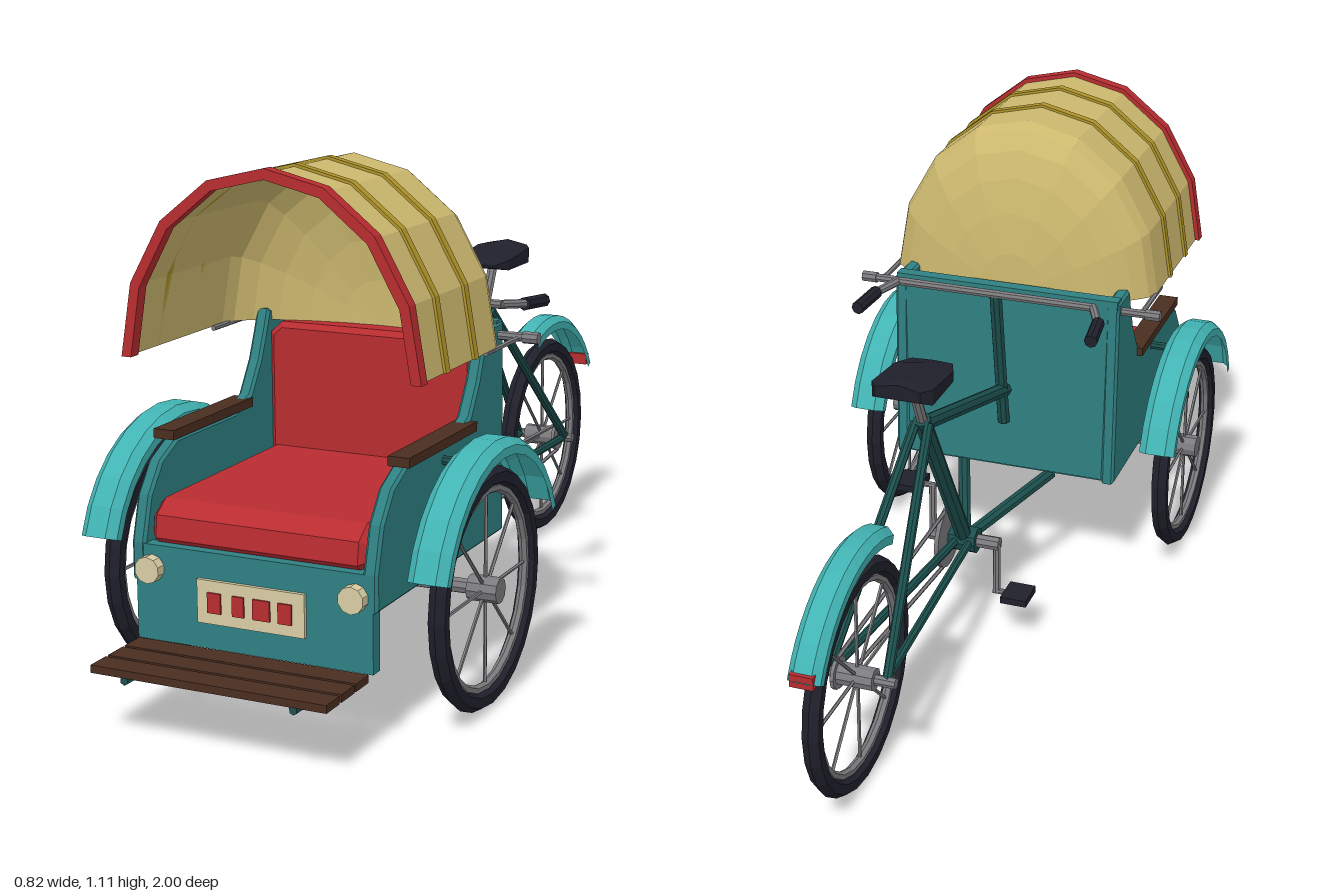
import * as THREE from 'three';

const mat = (name, color, side = THREE.FrontSide) => {
  const m = new THREE.MeshStandardMaterial({ color, side, flatShading: true });
  m.name = name;
  return m;
};

export function createModel() {
  const M = {
    teal: mat('body teal', 0x2f8082),
    light: mat('fender turquoise', 0x42b3b3, THREE.DoubleSide),
    frame: mat('frame dark green', 0x1c4f4d),
    red: mat('red', 0xb82c30),
    tan: mat('canopy tan', 0xcdb96f, THREE.DoubleSide),
    gold: mat('rib gold', 0xb0952a),
    black: mat('rubber black', 0x20202c),
    steel: mat('steel grey', 0x7c7c80),
    wood: mat('wood brown', 0x4a2d20),
    cream: mat('cream', 0xd8cda4),
  };
  const root = new THREE.Group();
  root.name = 'cycleRickshaw';
  const V = (x, y, z) => new THREE.Vector3(x, y, z);

  const add = (name, geo, m, x = 0, y = 0, z = 0, parent = root) => {
    const mesh = new THREE.Mesh(geo, m);
    mesh.name = name;
    mesh.position.set(x, y, z);
    parent.add(mesh);
    return mesh;
  };
  const box = (name, w, h, d, m, x, y, z) => add(name, new THREE.BoxGeometry(w, h, d), m, x, y, z);
  // round bar between two points
  const bar = (name, a, b, r, m, sides = 8, parent = root) => {
    const d = b.clone().sub(a);
    const mesh = add(name, new THREE.CylinderGeometry(r, r, d.length(), sides), m, 0, 0, 0, parent);
    mesh.position.copy(a).addScaledVector(d, 0.5);
    mesh.quaternion.setFromUnitVectors(V(0, 1, 0), d.normalize());
    return mesh;
  };
  // open sheet through a list of cross-sections
  const loft = (rings) => {
    const n = rings[0].length, pos = rings.flat(2), idx = [];
    for (let i = 0; i < rings.length - 1; i++)
      for (let j = 0; j < n - 1; j++) {
        const a = i * n + j, b = a + n;
        idx.push(a, b, a + 1, b, b + 1, a + 1);
      }
    const g = new THREE.BufferGeometry();
    g.setAttribute('position', new THREE.Float32BufferAttribute(pos, 3));
    g.setIndex(idx);
    g.computeVertexNormals();
    return g;
  };
  const extrude = (pts, depth, bevel = 0) => new THREE.ExtrudeGeometry(
    new THREE.Shape(pts.map(([x, y]) => new THREE.Vector2(x, y))),
    { depth, bevelEnabled: bevel > 0, bevelSize: bevel, bevelThickness: bevel, bevelSegments: 1 });

  // ---- wheels and fenders
  const WY = 0.257, FZ = 0.508, RZ = -0.727;
  const wheel = (name, x, z, hubR, hubL) => {
    const g = new THREE.Group();
    g.name = name;
    g.position.set(x, WY, z);
    root.add(g);
    add('tyre', new THREE.TorusGeometry(0.231, 0.021, 6, 24), M.black, 0, 0, 0, g).rotation.y = Math.PI / 2;
    add('rim', new THREE.TorusGeometry(0.207, 0.01, 6, 24), M.steel, 0, 0, 0, g).rotation.y = Math.PI / 2;
    bar('hub', V(-hubL, 0, 0), V(hubL, 0, 0), hubR, M.steel, 10, g);
    for (let i = 0; i < 8; i++) {
      const a = (i * Math.PI) / 4;
      bar('spoke', V(0, 0, 0), V(0, 0.205 * Math.cos(a), 0.205 * Math.sin(a)), 0.004, M.steel, 5, g);
    }
  };
  const fender = (name, x, z, w, from, to) => {
    const profile = [[-w, 0.279], [-w, 0.298], [-w * 0.55, 0.313], [w * 0.55, 0.313], [w, 0.298], [w, 0.279]];
    const rings = [];
    for (let i = 0; i <= 12; i++) {
      const a = THREE.MathUtils.degToRad(from + ((to - from) * i) / 12);
      rings.push(profile.map(([px, r]) => [x + px, WY + r * Math.cos(a), z + r * Math.sin(a)]));
    }
    add(name, loft(rings), M.light);
  };
  wheel('rearWheel', 0, RZ, 0.025, 0.04);
  fender('rearFender', 0, RZ, 0.035, -61, 25);
  box('tailLight', 0.05, 0.028, 0.02, M.red, 0, 0.41, -0.99);
  bar('rearAxle', V(-0.085, WY, RZ), V(0.085, WY, RZ), 0.012, M.steel);
  bar('frontAxle', V(-0.4, WY, FZ), V(0.4, WY, FZ), 0.016, M.steel);

  // ---- passenger body
  const sideOutline = [[0.2, 0.29], [0.81, 0.29], [0.81, 0.36], [0.785, 0.45], [0.74, 0.51], [0.68, 0.54],
    [0.44, 0.54], [0.37, 0.57], [0.325, 0.64], [0.3, 0.7], [0.285, 0.74], [0.206, 0.74]];
  for (const s of [1, -1]) {
    wheel('frontWheel', s * 0.367, FZ, 0.027, 0.033);
    fender('frontFender', s * 0.367, FZ, 0.042, -69, 72);
    bar('fenderStrut', V(s * 0.26, 0.515, FZ), V(s * 0.335, 0.515, FZ), 0.01, M.frame);
    // shape x runs along z, so the panel is turned and mirrored by position
    const panel = add('sidePanel', extrude(sideOutline, 0.02, 0.006), M.teal, s * 0.258 + 0.01);
    panel.rotation.y = -Math.PI / 2;
    box('armrest', 0.047, 0.02, 0.33, M.wood, s * 0.264, 0.556, 0.535);
    const lamp = bar('headLamp', V(s * 0.227, 0.312, 0.81), V(s * 0.227, 0.312, 0.838), 0.028, M.cream, 10);
    lamp.name = 'headLamp';
    // canopy pivots and arms
    bar('canopyPivot', V(s * 0.26, 0.72, 0.225), V(s * 0.345, 0.72, 0.225), 0.01, M.steel);
    bar('pivotKnob', V(s * 0.33, 0.72, 0.225), V(s * 0.365, 0.72, 0.225), 0.013, M.steel);
    bar('canopyArm', V(s * 0.318, 0.717, 0.225), V(s * 0.318, 0.717, 0.4), 0.006, M.steel, 6);
    bar('footboardRail', V(s * 0.185, 0.139, 0.79), V(s * 0.185, 0.139, 0.995), 0.009, M.frame, 6);
  }
  box('backPanel', 0.53, 0.46, 0.025, M.teal, 0, 0.52, 0.2125);
  box('backTopRail', 0.54, 0.025, 0.03, M.teal, 0, 0.738, 0.215);
  box('floor', 0.51, 0.02, 0.6, M.teal, 0, 0.295, 0.505);
  box('frontPanel', 0.528, 0.2, 0.03, M.teal, 0, 0.26, 0.8);
  box('seatBase', 0.47, 0.065, 0.55, M.teal, 0, 0.33, 0.51);

  // cushions, bevelled toward the sitter
  const cushion = add('seatCushion', extrude([[0.245, 0.36], [0.775, 0.36], [0.79, 0.375], [0.785, 0.41],
    [0.755, 0.432], [0.245, 0.432]], 0.45, 0.012), M.red, 0.225);
  cushion.rotation.y = -Math.PI / 2;
  add('backrest', extrude([[-0.23, 0.42], [0.23, 0.42], [0.23, 0.69], [0.21, 0.708], [-0.21, 0.708],
    [-0.23, 0.69]], 0.045, 0.012), M.red, 0, 0, 0.235);

  // front plate with four plain red tiles
  box('frontPlate', 0.24, 0.09, 0.009, M.cream, 0, 0.26, 0.819);
  [[-0.08, 0.03], [-0.026, 0.026], [0.026, 0.038], [0.078, 0.03]].forEach(([x, w]) =>
    box('plateTile', w, 0.042, 0.006, M.red, x, 0.26, 0.825));

  // footboard
  for (let i = 0; i < 3; i++) box('footboardSlat', 0.516, 0.016, 0.054, M.wood, 0, 0.155, 0.85 + i * 0.0615);

  // ---- canopy: half-ellipse arch closing into a rounded back
  const archPoint = (a, b, i) => [a * Math.cos((i * Math.PI) / 8), 0.72 + b * Math.sin((i * Math.PI) / 8)];
  const steps = [...Array(9).keys()];
  const canopyRing = (k, z) => steps.map((i) => [...archPoint(0.322 * k, 0.386 * k, i), z]);
  const rings = [canopyRing(1, 0.735)];
  for (let i = 0; i <= 6; i++) {
    const t = (i * Math.PI) / 12;
    rings.push(canopyRing(Math.max(Math.cos(t), 0.001), 0.355 - 0.12 * Math.sin(t)));
  }
  add('canopy', loft(rings), M.tan);
  const hoop = (name, grow, inset, depth, z, m) => add(name, extrude([
    ...steps.map((i) => archPoint(0.322 + grow, 0.386 + grow, i)),
    ...steps.map((i) => archPoint(0.322 - inset, 0.386 - inset, 8 - i)),
  ], depth), m, 0, 0, z);
  hoop('canopyTrim', 0.01, 0.012, 0.028, 0.713, M.red);
  hoop('canopyRib', 0.006, 0, 0.02, 0.597, M.gold);
  hoop('canopyRib', 0.006, 0, 0.02, 0.457, M.gold);

  // ---- cycle frame
  const BZ = -0.08, BY = 0.235;
  const crankCentre = V(0, BY, BZ), seatTop = V(0, 0.665, -0.345);
  bar('seatTube', crankCentre, seatTop, 0.019, M.frame);
  bar('topTube', V(0, 0.49, 0.2), V(0, 0.65, -0.335), 0.017, M.frame);
  bar('handlePost', V(0, 0.41, 0.193), V(0, 0.76, 0.13), 0.015, M.frame);
  bar('seatPost', seatTop, V(0, 0.765, -0.395), 0.012, M.steel);
  for (const s of [1, -1]) {
    bar('lowerTube', V(0, BY, BZ), V(s * 0.11, 0.275, 0.22), 0.015, M.frame);
    bar('chainStay', V(s * 0.015, BY, BZ), V(s * 0.06, WY, RZ), 0.01, M.frame);
    bar('seatStay', V(s * 0.015, 0.655, -0.345), V(s * 0.065, WY, RZ), 0.011, M.frame);
    // handlebar ends and grips
    bar('handlebarEnd', V(s * 0.235, 0.765, 0.122), V(s * 0.265, 0.758, 0.055), 0.01, M.steel);
    bar('grip', V(s * 0.265, 0.758, 0.06), V(s * 0.275, 0.752, -0.03), 0.015, M.black);
    // cranks and pedals
    const py = BY + s * 0.125;
    bar('crankArm', V(s * 0.078, BY, BZ), V(s * 0.078, py, BZ), 0.009, M.steel);
    bar('pedalSpindle', V(s * 0.07, py, BZ), V(s * 0.11, py, BZ), 0.007, M.steel);
    box('pedal', 0.062, 0.016, 0.075, M.black, s * 0.13, py, BZ);
    bar('chainRun', V(0.043, BY + s * 0.07, BZ), V(0.043, WY + s * 0.035, RZ), 0.005, M.steel, 5);
  }
  bar('handlebar', V(-0.238, 0.765, 0.122), V(0.238, 0.765, 0.122), 0.01, M.steel);
  bar('crankAxle', V(-0.085, BY, BZ), V(0.085, BY, BZ), 0.016, M.steel);
  bar('crankShell', V(-0.032, BY, BZ), V(0.032, BY, BZ), 0.03, M.frame, 10);
  bar('chainring', V(0.038, BY, BZ), V(0.048, BY, BZ), 0.076, M.steel, 18);
  bar('sprocket', V(0.039, WY, RZ), V(0.047, WY, RZ), 0.036, M.steel, 12);
  box('chainringCross', 0.008, 0.09, 0.02, M.black, 0.051, BY, BZ);
  box('chainringCross', 0.008, 0.02, 0.09, M.black, 0.051, BY, BZ);

  // saddle: box stations along z as [z, half width, bottom, top]
  const stations = [[-0.483, 0.05, 0.772, 0.806], [-0.455, 0.067, 0.758, 0.808],
    [-0.33, 0.066, 0.757, 0.79], [-0.28, 0.046, 0.768, 0.775]];
  const saddle = new THREE.BoxGeometry(2, 2, 3, 2, 1, 3), p = saddle.attributes.position;
  for (let i = 0; i < p.count; i++) {
    const [z, w, lo, hi] = stations[Math.round(p.getZ(i) + 1.5)];
    const x = p.getX(i), up = p.getY(i) > 0;
    p.setXYZ(i, x * w, up ? hi - Math.abs(x) * (hi - lo) * 0.3 : lo, z);
  }
  saddle.computeVertexNormals();
  add('saddle', saddle, M.black);
  return root;
}
